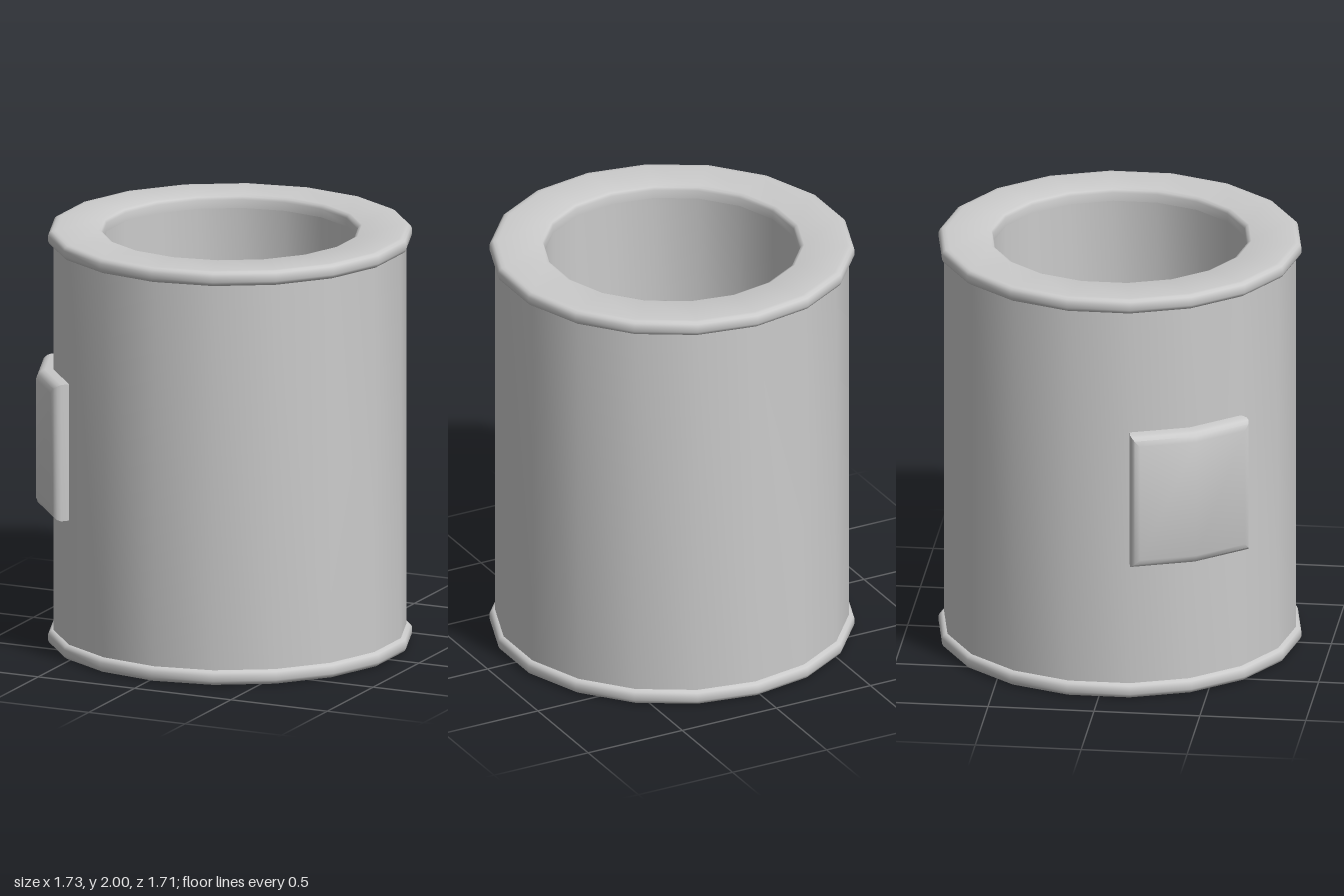
import * as THREE from 'three';
import { toCreasedNormals } from 'three/addons/utils/BufferGeometryUtils.js';

const SIDES = 18;
const CENTER_X = 0.02;
const material = new THREE.MeshStandardMaterial({ color: 0xcccccc });

function addMesh(group, name, geometry, crease = 0.6) {
  const mesh = new THREE.Mesh(toCreasedNormals(geometry, crease), material);
  mesh.name = name;
  group.add(mesh);
  return mesh;
}

function lathe(profile) {
  return new THREE.LatheGeometry(profile.map(([r, y]) => new THREE.Vector2(r, y)), SIDES);
}

// Plate bent over two neighbouring facets, with rounded outer edges
function plateGeometry() {
  const corners = [-80, -60, -40].map((d) => THREE.MathUtils.degToRad(d));
  const yMid = 1, halfHeight = 0.33;
  const layers = [[0.8, 0], [0.87, 0], [0.888, 0.006], [0.904, 0.02], [0.913, 0.045]]; // radius, inset
  const positions = [], index = [];

  for (const [r, inset] of layers) {
    const [a, b, c] = corners.map((p) => new THREE.Vector3(r * Math.sin(p), 0, r * Math.cos(p)));
    const t = inset / a.distanceTo(b);
    const row = [a.clone().lerp(b, t), b, c.clone().lerp(b, t)];
    const h = halfHeight - inset;
    for (const p of row) positions.push(p.x, yMid - h, p.z);
    for (const p of row.reverse()) positions.push(p.x, yMid + h, p.z);
  }
  for (let k = 0; k < layers.length - 1; k++) {
    for (let i = 0; i < 6; i++) {
      const a = k * 6 + i, b = k * 6 + (i + 1) % 6;
      index.push(a, b, b + 6, a, b + 6, a + 6);
    }
  }
  // Outer face, two panels
  const o = (layers.length - 1) * 6;
  index.push(o, o + 1, o + 4, o, o + 4, o + 5, o + 1, o + 2, o + 3, o + 1, o + 3, o + 4);

  const geometry = new THREE.BufferGeometry();
  geometry.setAttribute('position', new THREE.Float32BufferAttribute(positions, 3));
  geometry.setIndex(index);
  return geometry;
}

export function createModel() {
  const model = new THREE.Group();
  model.name = 'hollowCylinder';
  const parts = new THREE.Group();
  parts.name = 'parts';
  parts.position.x = CENTER_X;
  model.add(parts);

  // Thick tube wall: outside going up, bore going down
  addMesh(parts, 'outerWall', lathe([[0.83, 0.04], [0.83, 1.96]]));
  addMesh(parts, 'bore', lathe([[0.6, 1.94], [0.6, 0.06]]));

  // Rounded flange on each end
  const rim = [
    [0.82, 0], [0.838, 0.001], [0.85, 0.009], [0.856, 0.022], [0.856, 0.048],
    [0.85, 0.061], [0.838, 0.069], [0.82, 0.07],
  ];
  const mouth = [[0.6, 0.06], [0.6, 0.02], [0.606, 0.006], [0.62, 0], [0.82, 0]];
  const bottom = [...mouth, ...rim.slice(1)];
  addMesh(parts, 'bottomRim', lathe(bottom), 0.9);
  addMesh(parts, 'topRim', lathe(bottom.map(([r, y]) => [r, 2 - y]).reverse()), 0.9);

  // Raised plate on the side
  addMesh(parts, 'sidePlate', plateGeometry(), 0.7);
  return model;
}
